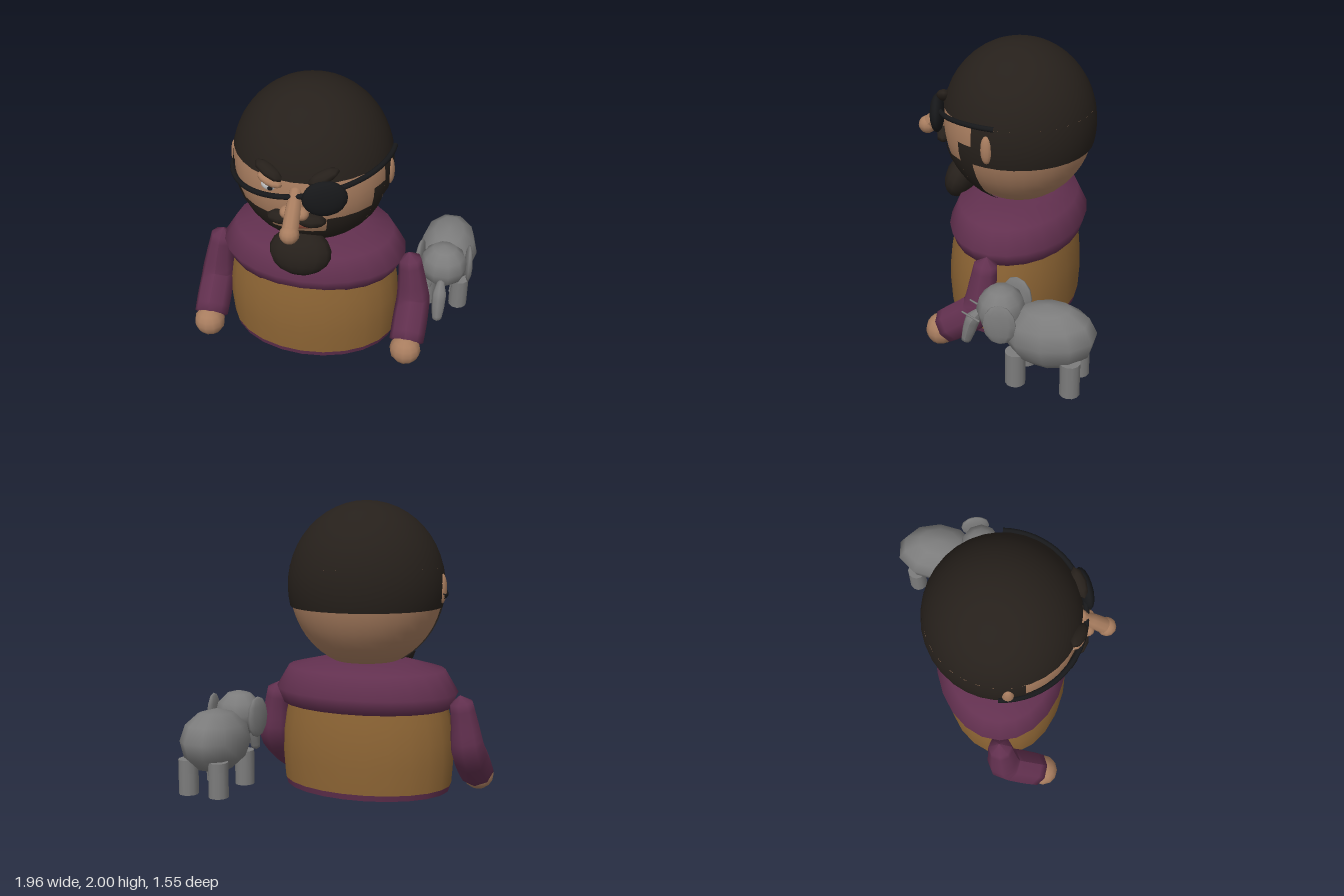
import * as THREE from 'three';

const material = (color) => new THREE.MeshStandardMaterial({ color });
const HAIR = material(0x26201b), SKIN = material(0xa87d5f), PURPLE = material(0x62304f);
const TAN = material(0x8c6434), GREY = material(0x7c7c7c), BLACK = material(0x17181a);
const LIP = material(0x7a4030), WHITE = material(0xcccccc);
const RAD = Math.PI / 180;

function add(parent, name, geometry, mat, pos = [0, 0, 0], rot = [0, 0, 0], scale = [1, 1, 1]) {
  const mesh = new THREE.Mesh(geometry, mat);
  mesh.name = name;
  mesh.position.set(...pos);
  mesh.rotation.set(...rot);
  mesh.scale.set(...scale);
  parent.add(mesh);
  return mesh;
}

// Ellipsoid with a chosen number of sides
function ball(parent, name, mat, pos, radii, rot = [0, 0, 0], sides = 12) {
  return add(parent, name, new THREE.SphereGeometry(1, sides, Math.ceil(sides * 0.6)), mat, pos, rot, radii);
}

// Closed tube through points, with its radius varying along the length
function limb(parent, name, mat, points, radii, sides = 8) {
  const rings = 14;
  const curve = new THREE.CatmullRomCurve3(points.map((p) => new THREE.Vector3(...p)), false, 'catmullrom', 0.25);
  const geometry = new THREE.TubeGeometry(curve, rings, 1, sides);
  const pos = geometry.attributes.position, v = new THREE.Vector3();
  for (let i = 0; i <= rings; i++) {
    const u = (i / rings) * (radii.length - 1), k = Math.min(Math.floor(u), radii.length - 2);
    const r = i === 0 || i === rings ? 0 : THREE.MathUtils.lerp(radii[k], radii[k + 1], u - k);
    const centre = curve.getPointAt(i / rings);
    for (let j = 0; j <= sides; j++) {
      const n = i * (sides + 1) + j;
      v.fromBufferAttribute(pos, n).sub(centre).multiplyScalar(r).add(centre);
      pos.setXYZ(n, v.x, v.y, v.z);
    }
  }
  geometry.computeVertexNormals();
  return add(parent, name, geometry, mat);
}

function buildHead() {
  const head = new THREE.Group();
  head.name = 'head';
  const centre = [0, 1.43, 0.03];
  add(head, 'skull', new THREE.SphereGeometry(1, 32, 24), SKIN, centre, [0, 0, 0], [0.525, 0.56, 0.512]);

  // Hair and beard patches: [name, phi from, phi to, theta from, theta to] in degrees
  const patches = [
    ['hairCap', 0, 360, 0, 76.8],
    ['backHair', 162, 378, 76.8, 104.2],
    ['rightSideburn', 18, 31, 91, 180],
    ['leftSideburn', 149, 162, 91, 180],
    ['rightBeard', 31, 68, 105.3, 180],
    ['leftBeard', 112, 149, 105.3, 180],
    ['chinBeard', 68, 112, 119.4, 180],
  ];
  for (const [name, p0, p1, t0, t1] of patches) {
    const geometry = new THREE.SphereGeometry(1, Math.max(3, Math.round((p1 - p0) / 11)),
      Math.max(4, Math.round((t1 - t0) / 8)), p0 * RAD, (p1 - p0) * RAD, t0 * RAD, (t1 - t0) * RAD);
    const mat = HAIR.clone();
    mat.side = THREE.DoubleSide;
    add(head, name, geometry, mat, centre, [0, 0, 0], [0.535, 0.57, 0.525]);
  }

  for (const s of [-1, 1]) {
    ball(head, 'ear', SKIN, [s * 0.522, 1.42, 0.08], [0.03, 0.1, 0.04]);
    ball(head, 'eyebrow', HAIR, [s * 0.175, 1.61, 0.51], [0.11, 0.04, 0.05], [0, s * 0.4, s * 0.4], 8);
    ball(head, 'nostril', SKIN, [s * 0.05, 1.36, 0.58], [0.045, 0.042, 0.05]);
    ball(head, 'moustacheHalf', HAIR, [s * 0.1, 1.29, 0.545], [0.1, 0.047, 0.055], [0, s * 0.2, s * -0.1], 8);
  }

  // Open eye
  ball(head, 'eye', WHITE, [-0.175, 1.5, 0.485], [0.06, 0.05, 0.05]);
  ball(head, 'pupil', BLACK, [-0.165, 1.49, 0.53], [0.018, 0.018, 0.012]);
  ball(head, 'eyelid', SKIN, [-0.17, 1.54, 0.51], [0.09, 0.035, 0.045], [0, -0.3, -0.25]);

  // Eye patch and its slanted strap
  ball(head, 'eyePatch', BLACK, [0.19, 1.48, 0.555], [0.145, 0.13, 0.05], [0, 0.3, 0], 16);
  const strap = new THREE.TorusGeometry(0.55, 0.018, 8, 32, Math.PI).rotateX(Math.PI / 2).rotateZ(0.19);
  add(head, 'strap', strap, BLACK, [0, 1.475, 0.02]);

  // Nose, mouth and goatee
  limb(head, 'noseBridge', SKIN, [[0, 1.52, 0.51], [0, 1.43, 0.58], [0, 1.28, 0.73]], [0.035, 0.05, 0.055], 10);
  ball(head, 'noseTip', SKIN, [0, 1.293, 0.715], [0.064, 0.064, 0.064]);
  ball(head, 'lips', LIP, [0, 1.215, 0.505], [0.105, 0.026, 0.03]);
  ball(head, 'goatee', HAIR, [0, 0.95, 0.45], [0.21, 0.165, 0.115], [-0.35, 0, 0], 14);
  return head;
}

function buildBody() {
  const body = new THREE.Group();
  body.name = 'body';
  const lathe = (points) => new THREE.LatheGeometry(points.map((p) => new THREE.Vector2(...p)), 24);
  add(body, 'hem', new THREE.CylinderGeometry(0.597, 0.585, 0.04, 24), PURPLE, [0, 0.06, 0.055], [0, 0, 0], [1, 1, 0.74]);
  add(body, 'tunic', lathe([[0.597, 0.08], [0.61, 0.25], [0.605, 0.4], [0.585, 0.54], [0.555, 0.66]]),
    TAN, [0, 0, 0.055], [0, 0, 0], [1, 1, 0.74]);
  add(body, 'collar', lathe([[0.5, 0.62], [0.6, 0.62], [0.645, 0.72], [0.555, 0.87], [0.34, 0.92], [0, 0.93]]),
    PURPLE, [0, 0, 0.03], [0, 0, 0], [1, 1, 0.72]);

  for (const s of [-1, 1]) {
    const arm = new THREE.Group();
    arm.name = s > 0 ? 'leftArm' : 'rightArm';
    limb(arm, 'sleeve', PURPLE,
      [[s * 0.67, 0.72, 0.03], [s * 0.7, 0.52, 0.05], [s * 0.72, 0.33, 0.08], [s * 0.715, 0.11, 0.35]],
      [0.075, 0.095, 0.12, 0.125, 0.12]);
    ball(arm, 'hand', SKIN, [s * 0.715, 0.11, 0.355], [0.11, 0.11, 0.105]);
    body.add(arm);
  }
  return body;
}

function buildElephant() {
  const elephant = new THREE.Group();
  elephant.name = 'elephant';
  ball(elephant, 'elephantBody', GREY, [0, 0.38, -0.48], [0.215, 0.22, 0.31], [0.1, 0, 0], 10);
  ball(elephant, 'elephantHead', GREY, [0, 0.505, -0.15], [0.17, 0.165, 0.16], [0, 0, 0], 10);
  limb(elephant, 'trunk', GREY, [[0, 0.47, -0.02], [0, 0.37, 0.05], [0, 0.18, 0.105]], [0.02, 0.05, 0.045, 0.03], 8);
  for (const s of [-1, 1]) {
    ball(elephant, 'elephantEar', GREY, [s * 0.175, 0.5, -0.2], [0.028, 0.145, 0.11], [0, s * 0.15, 0], 10);
    const tusk = new THREE.CylinderGeometry(0.006, 0.009, 0.13, 6).rotateX(1.15);
    add(elephant, 'tusk', tusk, GREY, [s * 0.072, 0.445, 0.035]);
    for (const z of [-0.285, -0.65]) {
      add(elephant, 'elephantLeg', new THREE.CylinderGeometry(0.067, 0.067, 0.24, 12), GREY, [s * 0.115, 0.16, z]);
    }
  }
  return elephant;
}

export function createModel() {
  const model = new THREE.Group();
  model.name = 'manWithElephant';
  const man = new THREE.Group();
  man.name = 'man';
  man.add(buildHead(), buildBody());
  man.position.x = -0.135;
  const elephant = buildElephant();
  elephant.position.x = 0.765;
  model.add(man, elephant);
  return model;
}
